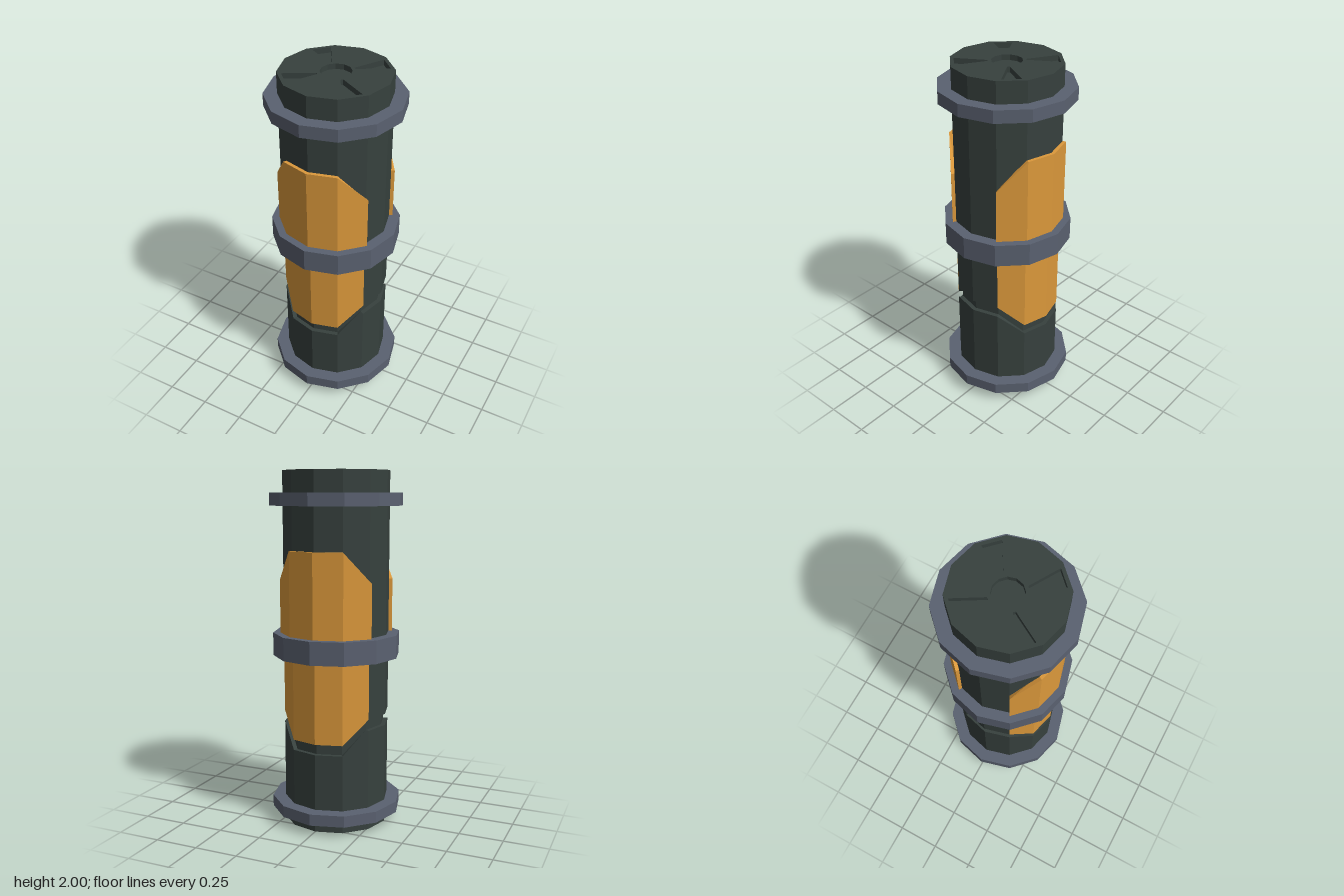
import * as THREE from 'three';

const SIDES = 12;
const mat = (name, color) => {
  const m = new THREE.MeshStandardMaterial({ color });
  m.name = name;
  return m;
};

// Sweeps a profile of [radius, height or height(k)] over flat facets first..last of a 12-sided prism.
function sweep(profile, first = 0, last = SIDES, { closed = false, caps = false } = {}) {
  const pos = [];
  const point = (k, [r, y]) => {
    const a = (k * Math.PI * 2) / SIDES;
    return [r * Math.sin(a), typeof y === 'function' ? y(k) : y, r * Math.cos(a)];
  };
  const quad = (a, b, c, d) => pos.push(...a, ...b, ...c, ...a, ...c, ...d);
  const n = profile.length;
  for (let k = first; k < last; k++) {
    for (let i = 0; i < (closed ? n : n - 1); i++) {
      const p = profile[i], q = profile[(i + 1) % n];
      quad(point(k, p), point(k + 1, p), point(k + 1, q), point(k, q));
    }
  }
  if (caps) {
    quad(...profile.map((p) => point(first, p)));
    quad(...profile.map((p) => point(last, p)).reverse());
  }
  const g = new THREE.BufferGeometry();
  g.setAttribute('position', new THREE.Float32BufferAttribute(pos, 3));
  g.computeVertexNormals();
  return g;
}

export function createModel() {
  const group = new THREE.Group();
  const dark = mat('dark casing', 0x37413e);
  const steel = mat('grey steel', 0x5a6170);
  const orange = mat('orange panel', 0xdb983b);
  const add = (name, geometry, material) => {
    const mesh = new THREE.Mesh(geometry, material);
    mesh.name = name;
    group.add(mesh);
  };

  // Zigzag seam: low across the front and back, high on the sides
  const isMiddle = (k) => [0, 1, 5].includes(((k % 6) + 6) % 6);
  const seamLow = (k) => (isMiddle(k) ? 0.45 : 0.58);
  const seamHigh = (k) => (isMiddle(k) ? 0.51 : 0.645);
  const plateTop = (k) => (isMiddle(k) ? 1.57 : 1.4);

  // Casing: lower cup with the recessed seam, then the upper tube
  add('lowerCasing', sweep([[0, 0], [0.3, 0], [0.3, seamLow], [0.275, seamLow], [0.275, seamHigh], [0.3, seamHigh]]), dark);
  add('upperCasing', sweep([[0.3, 1.0], [0.3, 1.97], [0, 1.97]]), dark);

  for (const [side, start] of [['front', -2], ['back', 4]]) {
    // Flush lower panel, raised upper panel, and the dark casing beside them
    add(side + 'LowerPanel', sweep([[0.3, seamHigh], [0.3, 1.0]], start, start + 4), orange);
    add(side + 'UpperPanel',
      sweep([[0.29, 1.05], [0.32, 1.05], [0.32, plateTop], [0.29, plateTop]], start, start + 4, { closed: true, caps: true }),
      orange);
    add(side + 'SideCasing', sweep([[0.3, seamHigh], [0.3, 1.0]], start + 4, start + 6), dark);
  }

  // Collars
  for (const [name, r, y0, y1] of [
    ['bottomCollar', 0.374, 0.065, 0.13],
    ['middleCollar', 0.362, 0.97, 1.1],
    ['topCollar', 0.374, 1.81, 1.88],
  ]) add(name, sweep([[0.28, y0], [r, y0], [r, y1], [0.28, y1]], 0, SIDES, { closed: true }), steel);

  // Top cap with a round socket and four wedge-shaped slots
  const polygon = (r) => Array.from({ length: SIDES }, (_, k) =>
    new THREE.Vector2(r, 0).rotateAround(new THREE.Vector2(), (k * Math.PI * 2) / SIDES));
  const cap = new THREE.Shape(polygon(0.3));
  cap.holes.push(new THREE.Path(polygon(0.083)));
  for (let i = 0; i < 4; i++) {
    const wedge = [[0.065, 0.075], [0.075, 0.065], [0.228, 0.155], [0.155, 0.228]].map(([x, y]) =>
      new THREE.Vector2(x, y).rotateAround(new THREE.Vector2(), (i * Math.PI) / 2));
    cap.holes.push(new THREE.Path(wedge));
  }
  const capGeometry = new THREE.ExtrudeGeometry(cap, { depth: 0.03, bevelEnabled: false });
  capGeometry.rotateX(-Math.PI / 2).translate(0, 1.97, 0);
  add('topCap', capGeometry, dark);

  return group;
}
